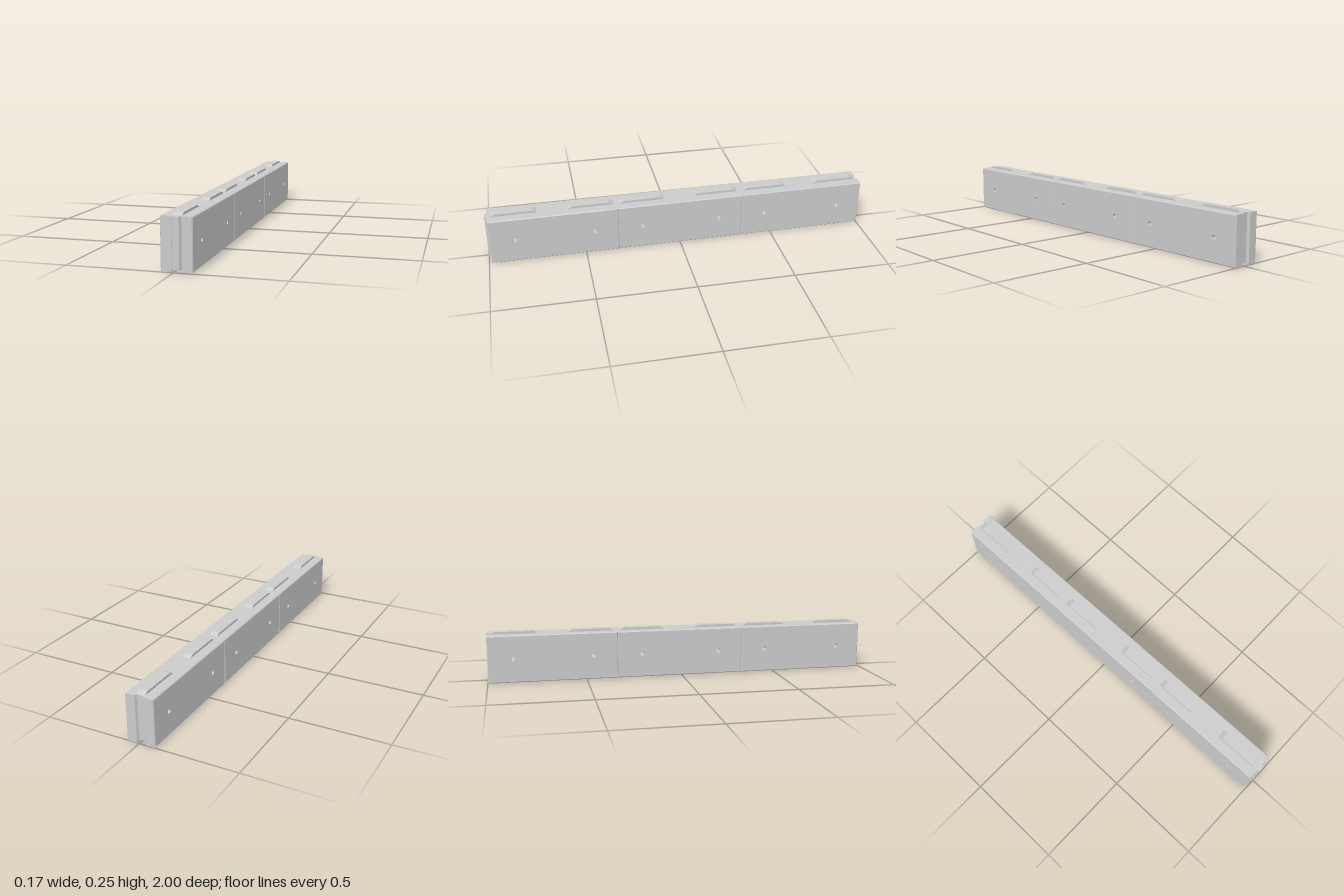
import * as THREE from 'three';
import { toCreasedNormals } from 'three/addons/utils/BufferGeometryUtils.js';

const L = 0.6627, HALF = L / 2;       // block length
const W = 0.1455, H = 0.242;          // block width and height
const SLOT = 0.046, TIP = 0.032;      // tongue root and tip widths
const D = 0.012;                      // depth of tongue, grooves and ribs
const CHAMFER = 0.004;
const HOLE_Y = 0.121, HOLE_Z = 0.205, HOLE_R = 0.011;

const material = new THREE.MeshStandardMaterial({ color: 0xcccccc });

function polygon(points) {
  return new THREE.Shape(points.map(([a, b]) => new THREE.Vector2(a, b)));
}

// Side outline in (z, y) with the two pin holes
function sideOutline(z0, z1, y0, y1) {
  const shape = polygon([[z0, y0], [z1, y0], [z1, y1], [z0, y1]]);
  for (const z of [-HOLE_Z, HOLE_Z]) {
    shape.holes.push(new THREE.Path().absarc(z, HOLE_Y, HOLE_R, 0, Math.PI * 2, true));
  }
  return shape;
}

// Extrude a (z, y) outline across the width, from x = 0 towards -x
function acrossX(shape, depth, steps = 1) {
  return new THREE.ExtrudeGeometry(shape, { depth, steps, bevelEnabled: false, curveSegments: 24 });
}

// Extrude an (x, z) plan between two heights
function upright(shape, y0, y1) {
  return new THREE.ExtrudeGeometry(shape, { depth: y1 - y0, bevelEnabled: false })
    .rotateX(Math.PI / 2).translate(0, y1, 0);
}

// Cheek with its outer rim chamfered; the pin holes stay sharp
function cheekGeometry() {
  const depth = (W - SLOT) / 2;
  const geometry = acrossX(sideOutline(-HALF, HALF, 0, H), depth, 2);
  const p = geometry.attributes.position;
  for (let i = 0; i < p.count; i++) {
    const z = p.getX(i), y = p.getY(i), d = p.getZ(i);
    if (d > depth * 0.9) {
      if (Math.abs(z) > HALF - 1e-4) p.setX(i, z - Math.sign(z) * CHAMFER);
      if (y < 1e-4) p.setY(i, CHAMFER);
      if (y > H - 1e-4) p.setY(i, H - CHAMFER);
    } else if (d > depth * 0.1) p.setZ(i, depth - CHAMFER);
  }
  return toCreasedNormals(geometry.rotateY(-Math.PI / 2).translate(-SLOT / 2, 0, 0), 0.5);
}

function createBlock() {
  const block = new THREE.Group();
  const add = (name, geometry) => {
    const mesh = new THREE.Mesh(geometry, material);
    mesh.name = name;
    block.add(mesh);
    return mesh;
  };

  // Side cheeks
  const cheek = cheekGeometry();
  add('rightCheek', cheek);
  add('leftCheek', cheek).rotation.y = Math.PI;

  // Core, leaving the bottom groove and the back groove open
  const core = acrossX(sideOutline(-HALF + D, HALF, D, H), SLOT)
    .rotateY(-Math.PI / 2).translate(SLOT / 2, 0, 0);
  add('core', toCreasedNormals(core, 0.5));

  // Tapered tongue on the front end
  const s = SLOT / 2, t = TIP / 2;
  add('tongue', upright(polygon([[-s, HALF], [s, HALF], [t, HALF + D], [-t, HALF + D]]), D, H));

  // Sloped walls of the back groove
  for (const side of [-1, 1]) {
    const wall = polygon([[side * s, -HALF], [side * s, -HALF + D], [side * t, -HALF + D]]);
    add('grooveWall', upright(wall, D, H));
  }

  // Ribs on top with ramped ends
  for (const z of [-0.197, 0.197]) {
    const rib = polygon([[z - 0.117, H], [z + 0.117, H], [z + 0.095, H + D], [z - 0.095, H + D]]);
    add('topRib', acrossX(rib, 0.043).rotateY(-Math.PI / 2).translate(0.0215, 0, 0));
  }
  return block;
}

export function createModel() {
  const model = new THREE.Group();
  model.name = 'interlockingBeam';
  const names = ['backBlock', 'middleBlock', 'frontBlock'];
  names.forEach((name, i) => {
    const block = createBlock();
    block.name = name;
    block.position.z = (i - 1) * L - D / 2;
    model.add(block);
  });
  // The row sits at a very slight angle
  model.rotation.y = 0.0112;
  return model;
}
